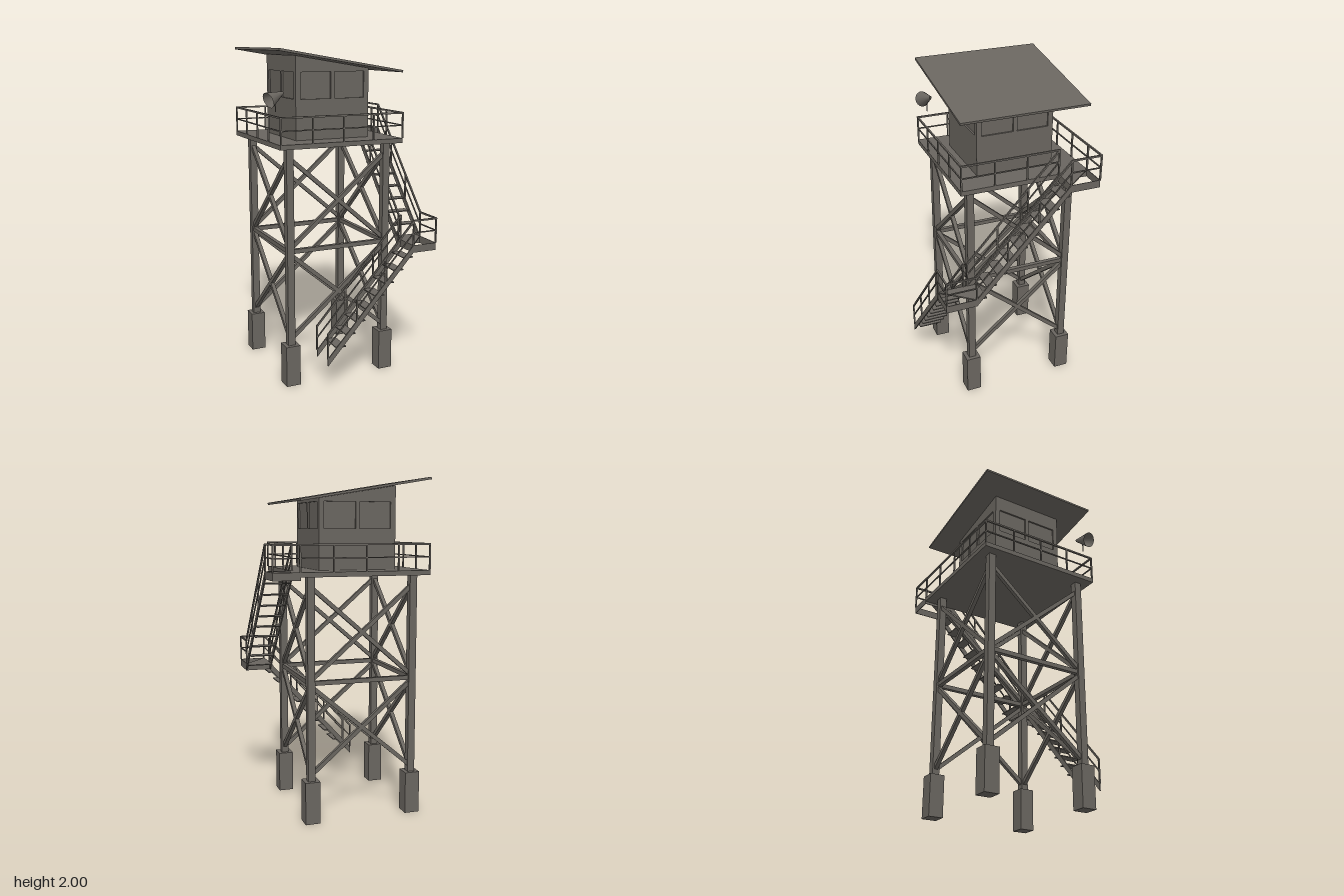
import * as THREE from 'three';

const V = (x, y, z) => new THREE.Vector3(x, y, z);

export function createModel() {
  const model = new THREE.Group();
  model.name = 'watchtower';
  const steel = new THREE.MeshStandardMaterial({ color: 0x69655f, side: THREE.DoubleSide });
  steel.name = 'weathered steel';

  const group = (name, parent = model) => {
    const g = new THREE.Group();
    g.name = name;
    parent.add(g);
    return g;
  };
  const add = (name, geometry, parent = model) => {
    const m = new THREE.Mesh(geometry, steel);
    m.name = name;
    parent.add(m);
    return m;
  };
  // Axis-aligned box given by its limits
  const block = (name, x0, x1, y0, y1, z0, z1, parent) => {
    const m = add(name, new THREE.BoxGeometry(x1 - x0, y1 - y0, z1 - z0), parent);
    m.position.set((x0 + x1) / 2, (y0 + y1) / 2, (z0 + z1) / 2);
    return m;
  };
  // Square bar between two points
  const bar = (name, a, b, t, parent) => {
    const m = add(name, new THREE.BoxGeometry(t, t, a.distanceTo(b)), parent);
    m.position.copy(a).lerp(b, 0.5);
    m.lookAt(b);
    return m;
  };
  // Handrail, middle rail and evenly spaced posts above a base line
  const railing = (name, a, b, bays, parent = model) => {
    const g = group(name, parent), up = (p, h) => p.clone().setY(p.y + h);
    bar('handrail', up(a, 0.151), up(b, 0.151), 0.01, g);
    bar('middleRail', up(a, 0.077), up(b, 0.077), 0.007, g);
    for (let i = 0; i <= bays; i++) {
      const p = a.clone().lerp(b, i / bays);
      bar('post', p, up(p, 0.155), 0.009, g);
    }
  };

  // Legs on concrete footings
  const legX = [-0.356, 0.269], legZ = [-0.387, 0.237];
  const legs = group('legs');
  for (const x of legX) for (const z of legZ) {
    block('footing', x - 0.045, x + 0.045, 0, 0.252, z - 0.045, z + 0.045, legs);
    block('leg', x - 0.022, x + 0.022, 0.25, 1.445, z - 0.022, z + 0.022, legs);
  }

  // Cross bracing on the four sides
  const bracing = group('bracing');
  const corners = [[0, 0], [1, 0], [1, 1], [0, 1]];
  corners.forEach(([i, j], n) => {
    const [k, l] = corners[(n + 1) % 4];
    const at = (end, y) => end ? V(legX[k], y, legZ[l]) : V(legX[i], y, legZ[j]);
    bar('crossBeam', at(0, 0.83), at(1, 0.83), 0.026, bracing);
    for (const [lo, hi] of [[0.285, 0.815], [0.845, 1.385]]) {
      bar('diagonalBrace', at(0, lo), at(1, hi), 0.024, bracing);
      bar('diagonalBrace', at(0, hi), at(1, lo), 0.024, bracing);
    }
  });

  // Platform and its railings
  const PX = [-0.435, 0.347], PZ = [-0.468, 0.313], PY = 1.47;
  block('platform', PX[0], PX[1], 1.442, PY, PZ[0], PZ[1]);
  const rx0 = PX[0] + 0.005, rx1 = PX[1], rz0 = PZ[0] + 0.002, rz1 = PZ[1] - 0.003;
  railing('frontRailing', V(rx0, PY, rz1), V(rx1, PY, rz1), 4);
  railing('backRailing', V(rx0, PY, rz0), V(rx1, PY, rz0), 4);
  railing('rightRailing', V(rx0, PY, rz0), V(rx0, PY, rz1), 4);
  railing('leftRailing', V(rx1, PY, -0.285), V(rx1, PY, rz1), 3);

  // Cabin walls with two recessed windows on each side
  const cabin = group('cabin');
  cabin.position.set(-0.042, PY, -0.076);
  const half = 0.235, wall = 0.014, high = 0.487, low = 0.41;
  const addWall = (name, hl, hr, turn) => {
    const side = group(name, cabin);
    side.rotation.y = turn;
    const s = new THREE.Shape([[-half, 0], [half, 0], [half, hr], [-half, hl]].map(p => new THREE.Vector2(...p)));
    for (const c of [-0.108, 0.108]) {
      const [a, b, y0, y1] = [c - 0.096, c + 0.096, 0.238, 0.392];
      s.holes.push(new THREE.Path([[a, y0], [a, y1], [b, y1], [b, y0]].map(p => new THREE.Vector2(...p))));
      block('windowPane', a, b, y0, y1, half - wall, half - wall + 0.004, side);
    }
    add('wall', new THREE.ExtrudeGeometry(s, { depth: wall, bevelEnabled: false }), side).position.z = half - wall;
  };
  addWall('frontWall', high, low, 0);
  addWall('leftWall', low, low, Math.PI / 2);
  addWall('backWall', low, high, Math.PI);
  addWall('rightWall', high, high, -Math.PI / 2);

  // Sloping roof
  const roofShape = new THREE.Shape([[-0.433, 1.986], [0.343, 1.857], [0.345, 1.87], [-0.431, 2]].map(p => new THREE.Vector2(...p)));
  add('roof', new THREE.ExtrudeGeometry(roofShape, { depth: 0.775, bevelEnabled: false }), model).position.z = -0.467;

  // Landings: three-cornered deck inside a square edge frame, railed on the outer sides
  const X0 = 0.347, X1 = 0.502, ZI = 0.285, ZO = 0.467, EDGE = 0.045;
  const landing = (name, y, s) => {
    const g = group(name);
    const deck = new THREE.Shape([[X0, -s * ZO], [X0, -s * ZI], [X1, -s * ZI]].map(p => new THREE.Vector2(...p)));
    const m = add('deck', new THREE.ExtrudeGeometry(deck, { depth: 0.008, bevelEnabled: false }), g);
    m.rotation.x = -Math.PI / 2;
    m.position.y = y - 0.008;
    const z0 = Math.min(s * ZI, s * ZO), z1 = Math.max(s * ZI, s * ZO);
    for (const x of [X0, X1]) block('edge', x - 0.002, x + 0.002, y - EDGE, y, z0, z1, g);
    for (const z of [z0, z1]) block('edge', X0, X1, y - EDGE, y, z - 0.002, z + 0.002, g);
    railing('outerRailing', V(X1, y, s * ZI), V(X1, y, s * ZO), 1, g);
    railing('endRailing', V(X0, y, s * ZO), V(X1, y, s * ZO), 1, g);
  };
  const LY = 0.845;
  landing('lowerLanding', LY, 1);
  landing('upperLanding', PY, -1);

  // Stringer: plate of constant upright depth along a sloping line in the local xy plane
  const stringer = (run, rise, parent) => {
    const s = new THREE.Shape([[0, -EDGE], [run, rise - EDGE], [run, rise], [0, 0]].map(p => new THREE.Vector2(...p)));
    return add('stringer', new THREE.ExtrudeGeometry(s, { depth: 0.008, bevelEnabled: false }), parent);
  };
  // A flight climbs along its local +x, its width runs along local z
  const flight = (name, run, rise, width, first, step, riser) => {
    const g = group(name);
    for (const z of [0, width]) {
      stringer(run, rise, g).position.z = z - 0.004;
      railing('stairRailing', V(0, 0, z), V(run, rise, z), 3, g);
    }
    for (let i = 0; i < 8; i++) {
      const x = first[0] + step * i, y = first[1] + riser * i;
      block('tread', x, x + step, y - 0.006, y, 0.004, width - 0.004, g);
    }
    return g;
  };
  const lower = flight('lowerStairs', 0.562, 0.625, 0.155, [0.056, 0.061], 0.0635, 0.0705);
  lower.position.set(-0.215, 0.22, 0.312);
  const upper = flight('upperStairs', 0.57, 0.625, X1 - X0, [0.0635, 0.0695], 0.0635, 0.0695);
  upper.rotation.y = Math.PI / 2;
  upper.position.set(X0, LY, ZI);
  block('bottomTread', X0, X1, LY - 0.006, LY, 0.2215, ZI);

  // Searchlight at the front corner: open cone on a thin mount
  const lamp = group('searchlight');
  const back = V(-0.385, 1.755, 0.235), rim = V(-0.482, 1.716, 0.26);
  const shade = add('lampShade', new THREE.CylinderGeometry(0.008, 0.047, back.distanceTo(rim), 16, 1, true), lamp);
  shade.position.copy(back).lerp(rim, 0.5);
  shade.quaternion.setFromUnitVectors(V(0, 1, 0), back.clone().sub(rim).normalize());
  bar('lampMount', V(-0.435, 1.65, 0.245), V(-0.435, 1.72, 0.245), 0.005, lamp);

  return model;
}
